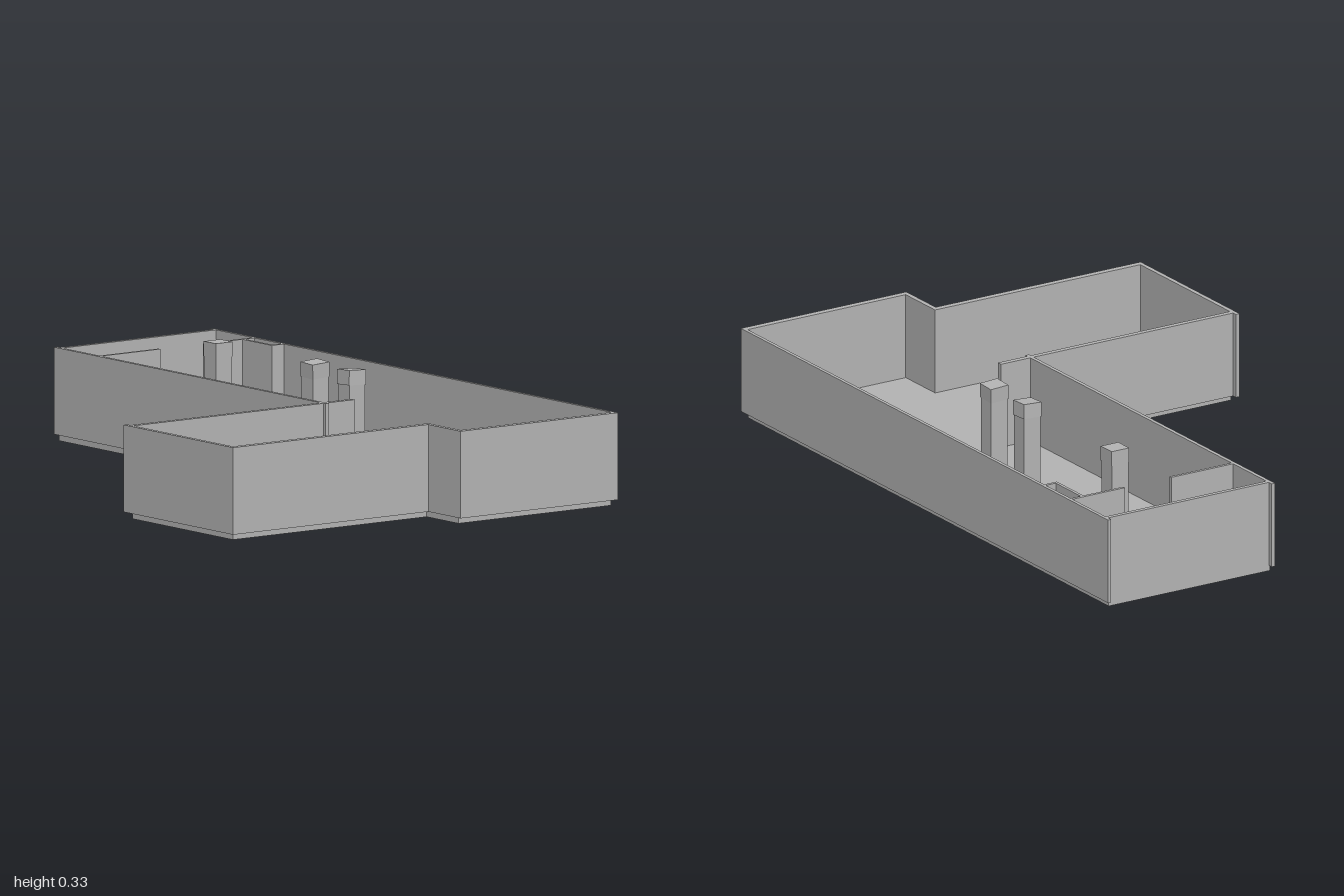
import * as THREE from 'three';

export function createModel() {
  const model = new THREE.Group();
  model.name = 'floorPlan';
  const plaster = new THREE.MeshStandardMaterial({ color: 0xb2b2b2 });
  plaster.name = 'grey plaster';

  const FLOOR = 0.018, TOP = 0.28;

  // Box given by its extents
  function block(name, x0, x1, z0, z1, y0 = FLOOR, y1 = TOP, parent = model) {
    const mesh = new THREE.Mesh(new THREE.BoxGeometry(x1 - x0, y1 - y0, z1 - z0), plaster);
    mesh.position.set((x0 + x1) / 2, (y0 + y1) / 2, (z0 + z1) / 2);
    mesh.name = name;
    parent.add(mesh);
    return mesh;
  }

  // L-shaped floor slab, slightly inset from the walls
  const outline = [[-0.982, -0.642], [0.982, -0.642], [0.982, -0.075], [0.825, -0.075],
    [0.825, 0.645], [0.33, 0.645], [0.33, -0.07], [-0.982, -0.07]];
  const shape = new THREE.Shape(outline.map(([x, z]) => new THREE.Vector2(x, -z)));
  const slab = new THREE.Mesh(
    new THREE.ExtrudeGeometry(shape, { depth: FLOOR, bevelEnabled: false }).rotateX(-Math.PI / 2), plaster);
  slab.name = 'floorSlab';
  model.add(slab);

  // Outer walls: x0, x1, z0, z1
  const walls = {
    backWall: [-1, 1, -0.656, -0.645],
    rightEndWall: [-0.984, -0.97, -0.645, -0.076],
    leftEndWall: [0.98, 1, -0.645, -0.07],
    frontWall: [-1, 0.342, -0.076, -0.064],
    stepWall: [0.82, 0.98, -0.085, -0.07],
    wingLeftWall: [0.82, 0.84, -0.07, 0.642],
    wingFrontWall: [0.3, 0.84, 0.642, 0.656],
    wingRightWall: [0.315, 0.332, -0.18, 0.642],
  };
  // Inner partitions and closet
  const partitions = {
    backPartition: [-0.79, -0.78, -0.645, -0.46],
    frontPartition: [-0.79, -0.78, -0.295, -0.076],
    closetFront: [-0.78, -0.635, -0.61, -0.6],
    closetSide: [-0.645, -0.635, -0.645, -0.61],
  };
  for (const [name, e] of Object.entries({ ...walls, ...partitions })) block(name, ...e);

  // Freestanding posts with slightly tilted caps
  [[-0.575, 0, 0], [-0.097, 0.06, -0.05], [0.083, -0.05, 0.05]].forEach(([x, tiltX, tiltZ]) => {
    const post = new THREE.Group();
    post.name = 'post';
    post.position.set(x, 0, -0.355);
    block('postShaft', -0.028, 0.028, -0.029, 0.029, FLOOR, 0.29, post);
    const cap = block('postCap', -0.03, 0.03, -0.031, 0.031, 0.278, 0.323, post);
    cap.rotation.set(tiltX, 0, tiltZ);
    model.add(post);
  });

  return model;
}
